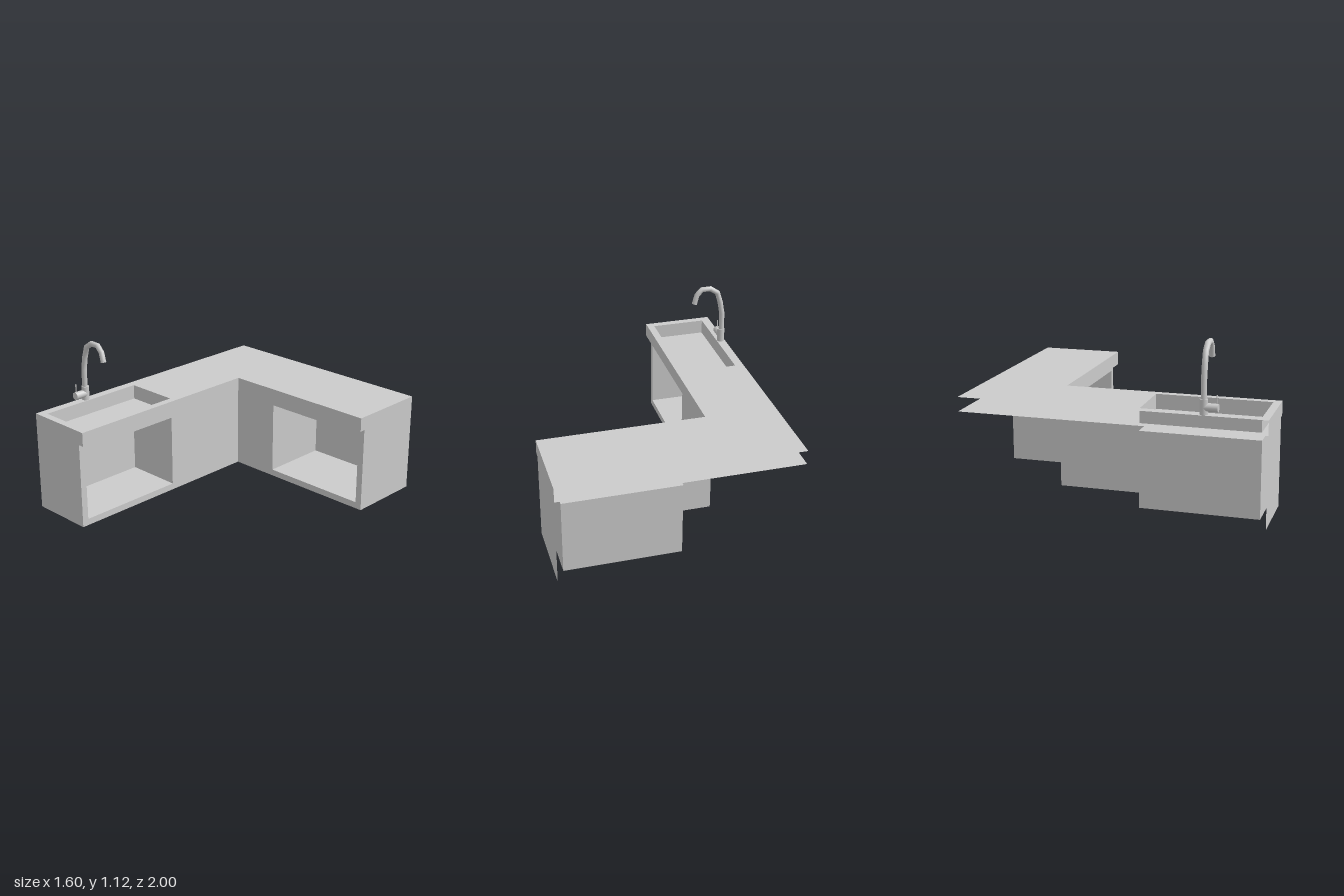
import * as THREE from 'three';

const grey = new THREE.MeshStandardMaterial({ color: 0xcccccc, side: THREE.DoubleSide });

// Main levels and lines of the counter
const TOP = 0.685, UNDER = 0.59;
const LEFT = -0.8, RIGHT = 0.8, BACK = -1, FRONT = 1;
const EDGE_X = -0.315, EDGE_Z = -0.435;     // inner edges of the worktop
const PANEL_X = -0.355, PANEL_Z = -0.475;   // cabinet fronts, set back
const NICHE_Y = [0.045, 0.545], DEPTH = 0.4;

function add(parent, name, geometry) {
  const mesh = new THREE.Mesh(geometry, grey);
  mesh.name = name;
  parent.add(mesh);
  return mesh;
}

const outline = (pts) => new THREE.Shape(pts.map(([x, y]) => new THREE.Vector2(x, y)));
const rect = (a, b, c, d) => outline([[a, c], [b, c], [b, d], [a, d]]);

// Flat sheet, optionally with a rectangular hole
function sheet(shape, hole) {
  if (hole) shape.holes.push(rect(...hole));
  return new THREE.ShapeGeometry(shape);
}

// Upright sheet facing +x, spanning z0..z1 and y0..y1
function sideSheet(x, z0, z1, y0, y1, hole) {
  const flipped = hole && [-hole[1], -hole[0], hole[2], hole[3]];
  return sheet(rect(-z1, -z0, y0, y1), flipped).rotateY(Math.PI / 2).translate(x, 0, 0);
}

// Upright sheet facing +z
function frontSheet(z, x0, x1, y0, y1, hole) {
  return sheet(rect(x0, x1, y0, y1), hole).translate(0, 0, z);
}

// Box with one face left off: 0 +x, 1 -x, 2 +y, 3 -y, 4 +z, 5 -z
function openBox(x, y, z, openFace) {
  const g = new THREE.BoxGeometry(x[1] - x[0], y[1] - y[0], z[1] - z[0]);
  const index = Array.from(g.index.array);
  index.splice(openFace * 6, 6);
  g.setIndex(index);
  return g.translate((x[0] + x[1]) / 2, (y[0] + y[1]) / 2, (z[0] + z[1]) / 2);
}

// Curve that follows straight segments, with one sample per corner
class Polyline extends THREE.Curve {
  constructor(points) { super(); this.points = points; }
  getPoint(t, target = new THREE.Vector3()) {
    const n = this.points.length - 1;
    const i = Math.min(Math.floor(t * n), n - 1);
    return target.lerpVectors(this.points[i], this.points[i + 1], t * n - i);
  }
  getPointAt(t, target) { return this.getPoint(t, target); }
  getTangentAt(t, target) { return this.getTangent(t, target); }
}

function createWorktop(sinkX, sinkZ) {
  const group = new THREE.Group();
  group.name = 'worktop';
  // L-shaped sheets drawn in (x, -z), pierced for the sink
  const lShape = () => outline([[LEFT, -FRONT], [EDGE_X, -FRONT], [EDGE_X, -EDGE_Z],
    [RIGHT, -EDGE_Z], [RIGHT, -BACK], [LEFT, -BACK]]);
  for (const [name, y] of [['worktopSurface', TOP], ['worktopUnderside', UNDER]]) {
    const g = sheet(lShape(), [...sinkX, -sinkZ[1], -sinkZ[0]]);
    add(group, name, g.rotateX(-Math.PI / 2).translate(0, y, 0));
  }
  // Visible edges; the wall sides stay open
  add(group, 'sinkEndEdge', frontSheet(FRONT, LEFT, EDGE_X, UNDER, TOP));
  add(group, 'sinkRunEdge', sideSheet(EDGE_X, EDGE_Z, FRONT, UNDER, TOP));
  add(group, 'backRunEdge', frontSheet(EDGE_Z, EDGE_X, RIGHT, UNDER, TOP));
  add(group, 'backRunEndEdge', sideSheet(RIGHT, BACK, EDGE_Z, UNDER, TOP));
  return group;
}

function createCabinets() {
  const group = new THREE.Group();
  group.name = 'cabinets';
  const nicheX = [-0.01, 0.755], nicheZ = [0.19, 0.955];
  // Fronts with openings, and end panels
  add(group, 'backRunFront', frontSheet(PANEL_Z, PANEL_X, RIGHT, 0, UNDER, [...nicheX, ...NICHE_Y]));
  add(group, 'sinkRunFront', sideSheet(PANEL_X, PANEL_Z, FRONT, 0, UNDER, [...nicheZ, ...NICHE_Y]));
  add(group, 'backRunEndPanel', sideSheet(RIGHT, BACK, PANEL_Z, 0, UNDER));
  add(group, 'sinkRunEndPanel', frontSheet(FRONT, LEFT, PANEL_X, 0, UNDER));
  // Open storage compartments
  add(group, 'backRunCompartment', openBox(nicheX, NICHE_Y, [-0.96, PANEL_Z], 4));
  add(group, 'sinkRunCompartment', openBox([PANEL_X - DEPTH, PANEL_X], NICHE_Y, nicheZ, 0));
  return group;
}

function createFaucet() {
  const group = new THREE.Group();
  group.name = 'faucet';
  const x = -0.77, z = 0.6;
  add(group, 'faucetBase', new THREE.CylinderGeometry(0.026, 0.026, 0.095, 16)).position.set(x, TOP + 0.0475, z);
  const valve = add(group, 'faucetValve', new THREE.CylinderGeometry(0.026, 0.026, 0.09, 16));
  valve.rotation.x = Math.PI / 2;
  valve.position.set(x, 0.73, z + 0.045);
  add(group, 'faucetLever', new THREE.CylinderGeometry(0.004, 0.004, 0.08, 8)).position.set(x, 0.77, 0.68);
  // Gooseneck spout
  const path = [[-0.773, 0.7], [-0.773, 0.9], [-0.757, 0.99], [-0.733, 1.068],
    [-0.68, 1.104], [-0.617, 1.104], [-0.58, 1.066], [-0.562, 1.0]]
    .map(([px, py]) => new THREE.Vector3(px, py, z));
  add(group, 'faucetSpout', new THREE.TubeGeometry(new Polyline(path), path.length - 1, 0.019, 14));
  return group;
}

export function createModel() {
  const model = new THREE.Group();
  model.name = 'kitchenCounter';
  const sinkX = [-0.74, -0.365], sinkZ = [0.19, 0.95];
  model.add(createWorktop(sinkX, sinkZ), createCabinets(), createFaucet());
  add(model, 'sinkBasin', openBox(sinkX, [TOP - 0.1, TOP], sinkZ, 2));
  return model;
}
